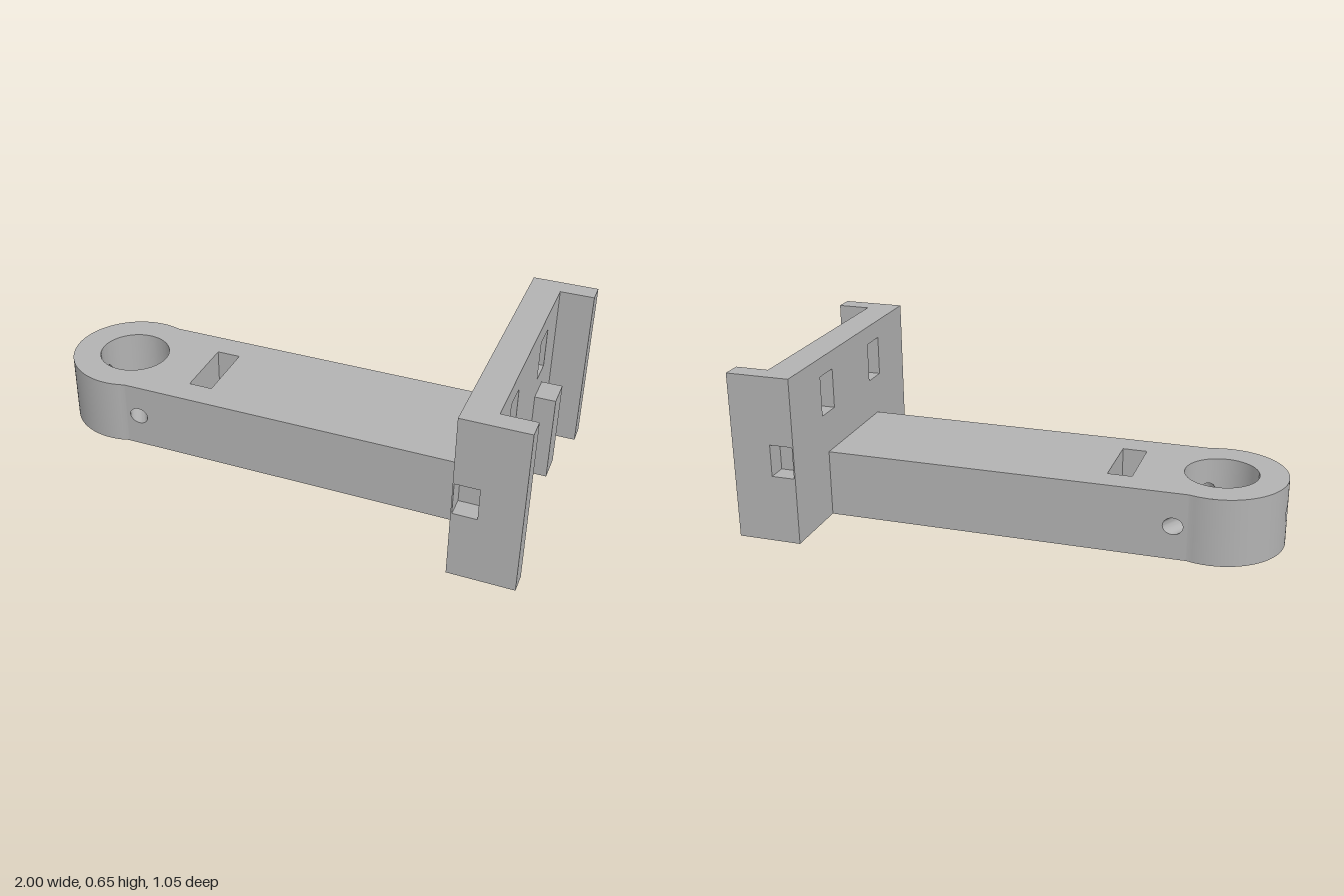
import * as THREE from 'three';
import { mergeGeometries, toCreasedNormals } from 'three/addons/utils/BufferGeometryUtils.js';

const H = 0.265, A = 0.237;                 // arm height and half width
const CX = -0.75, RO = 0.25, RI = 0.14;     // eye centre, outer and inner radius
const PIN = 0.033, W = 0.045;               // pin hole radius, half width of the wall patch around it

// Surface from a rule fn(u, v) -> [x, y, z]
function grid(fn, nu, nv, flip = false) {
  const pos = [];
  for (let i = 0; i < nu; i++) for (let j = 0; j < nv; j++) {
    const a = fn(i / nu, j / nv), b = fn((i + 1) / nu, j / nv);
    const c = fn((i + 1) / nu, (j + 1) / nv), d = fn(i / nu, (j + 1) / nv);
    const tris = flip ? [a, c, b, a, d, c] : [a, b, c, a, c, d];
    tris.forEach((p) => pos.push(...p));
  }
  const g = new THREE.BufferGeometry();
  g.setAttribute('position', new THREE.Float32BufferAttribute(pos, 3));
  return g;
}

// Upright walls: straight between two plan points, or along an arc of the eye
const flatWall = (x0, z0, x1, z1) =>
  grid((u, v) => [x0 + (x1 - x0) * u, v * H, z0 + (z1 - z0) * u], 1, 1);
const arcWall = (r, a0, a1, n, flip) => grid((u, v) => {
  const a = a0 + (a1 - a0) * u;
  return [CX + r * Math.cos(a), v * H, r * Math.sin(a)];
}, n, 1, flip);

function rect(path, x0, y0, x1, y1) {
  path.moveTo(x0, y0);
  path.lineTo(x1, y0);
  path.lineTo(x1, y1);
  path.lineTo(x0, y1);
  path.closePath();
  return path;
}

function armGeometry() {
  const parts = [];
  const alpha = Math.asin(A / RO), tx = CX + RO * Math.cos(alpha);
  const slot = [-0.435, -0.13, -0.34, 0.13];

  // Top and bottom faces with the eye and the slot cut out
  const plan = new THREE.Shape();
  plan.moveTo(0.75, -A);
  plan.lineTo(0.75, A);
  plan.lineTo(tx, A);
  plan.absarc(CX, 0, RO, alpha, 2 * Math.PI - alpha, false);
  plan.closePath();
  plan.holes.push(new THREE.Path().absarc(CX, 0, RI, 0, 2 * Math.PI, true));
  plan.holes.push(rect(new THREE.Path(), ...slot));
  for (const top of [false, true]) {
    const cap = new THREE.ShapeGeometry(plan, 32).toNonIndexed();
    cap.deleteAttribute('uv');
    cap.deleteAttribute('normal');
    cap.rotateX(top ? -Math.PI / 2 : Math.PI / 2).translate(0, top ? H : 0, 0);
    parts.push(cap);
  }

  // Slot walls
  const [x0, z0, x1, z1] = slot;
  parts.push(flatWall(x0, z0, x1, z0), flatWall(x1, z0, x1, z1));
  parts.push(flatWall(x1, z1, x0, z1), flatWall(x0, z1, x0, z0));

  // Three radial pin holes, each with an inner and outer wall patch and its bore
  const di = Math.asin(W / RI), dO = Math.asin(W / RO);
  for (let k = 0; k < 3; k++) {
    const th = Math.PI / 3 + k * 2 * Math.PI / 3, c = Math.cos(th), s = Math.sin(th);
    const point = (t, y, d) => [CX + c * d - s * t, y, s * d + c * t];
    const inner = (t) => Math.sqrt(RI * RI - t * t);
    const outer = k === 1
      ? (t) => Math.sqrt(RO * RO - t * t)
      : (t) => (Math.sign(s) * A - t * c) / s;
    const patch = (dist, flip) => grid((u, v) => {
      const p = u * 2 * Math.PI, cp = Math.cos(p), sp = Math.sin(p);
      const m = Math.max(Math.abs(cp), Math.abs(sp));
      const t = cp * (PIN * (1 - v) + v * W / m);
      const y = H / 2 + sp * (PIN * (1 - v) + v * H / 2 / m);
      return point(t, y, dist(t));
    }, 32, 3, flip);
    parts.push(patch(outer, false), patch(inner, true));
    parts.push(grid((u, v) => {
      const t = PIN * Math.cos(u * 2 * Math.PI), y = H / 2 + PIN * Math.sin(u * 2 * Math.PI);
      return point(t, y, inner(t) * (1 - v) + outer(t) * v);
    }, 32, 1));
    // Eye wall up to the next pin hole
    parts.push(arcWall(RI, th + di, th + 2 * Math.PI / 3 - di, 16, false));
    // Straight side walls on both sides of the pin hole
    if (k !== 1) {
      const xs = [point(-W, 0, outer(-W))[0], point(W, 0, outer(W))[0]].sort((a, b) => a - b);
      for (const [a, b] of [[tx, xs[0]], [xs[1], 0.75]]) {
        parts.push(s > 0 ? flatWall(a, A, b, A) : flatWall(b, -A, a, -A));
      }
    }
  }

  // Rounded end of the arm
  parts.push(arcWall(RO, alpha, Math.PI - dO, 20, true));
  parts.push(arcWall(RO, Math.PI + dO, 2 * Math.PI - alpha, 20, true));
  return toCreasedNormals(mergeGeometries(parts), 0.5);
}

export function createModel() {
  const model = new THREE.Group();
  model.name = 'bracketArm';
  const grey = new THREE.MeshStandardMaterial({ color: 0xb2b2b2 });
  grey.name = 'grey';
  const add = (name, geometry) => {
    const mesh = new THREE.Mesh(geometry, grey);
    mesh.name = name;
    model.add(mesh);
    return mesh;
  };

  add('arm', armGeometry());

  // Upright plate with two windows
  const face = rect(new THREE.Shape(), -0.447, 0, 0.447, 0.655);
  face.holes.push(rect(new THREE.Path(), 0.167, 0.425, 0.272, 0.583));
  face.holes.push(rect(new THREE.Path(), -0.272, 0.425, -0.167, 0.583));
  const plate = new THREE.ExtrudeGeometry(face, { depth: 0.12, bevelEnabled: false });
  add('plate', plate.rotateY(Math.PI / 2).translate(0.75, 0, 0));

  // Side flanges, each with a pocket closed by the plate's end
  const side = rect(new THREE.Shape(), 0.75, 0, 1, 0.655);
  side.holes.push(rect(new THREE.Path(), 0.755, 0.265, 0.845, 0.39));
  const flange = new THREE.ExtrudeGeometry(side, { depth: 0.076, bevelEnabled: false });
  const rib = new THREE.BoxGeometry(0.08, 0.35, 0.115);
  for (const [label, s] of [['left' + 'Side', 1], ['right' + 'Side', -1]]) {
    const isFront = s > 0;
    add(isFront ? 'frontFlange' : 'backFlange', flange).position.z = isFront ? 0.447 : -0.523;
    add(isFront ? 'frontRib' : 'backRib', rib).position.set(0.91, 0.175, s * 0.2175);
  }
  return model;
}
